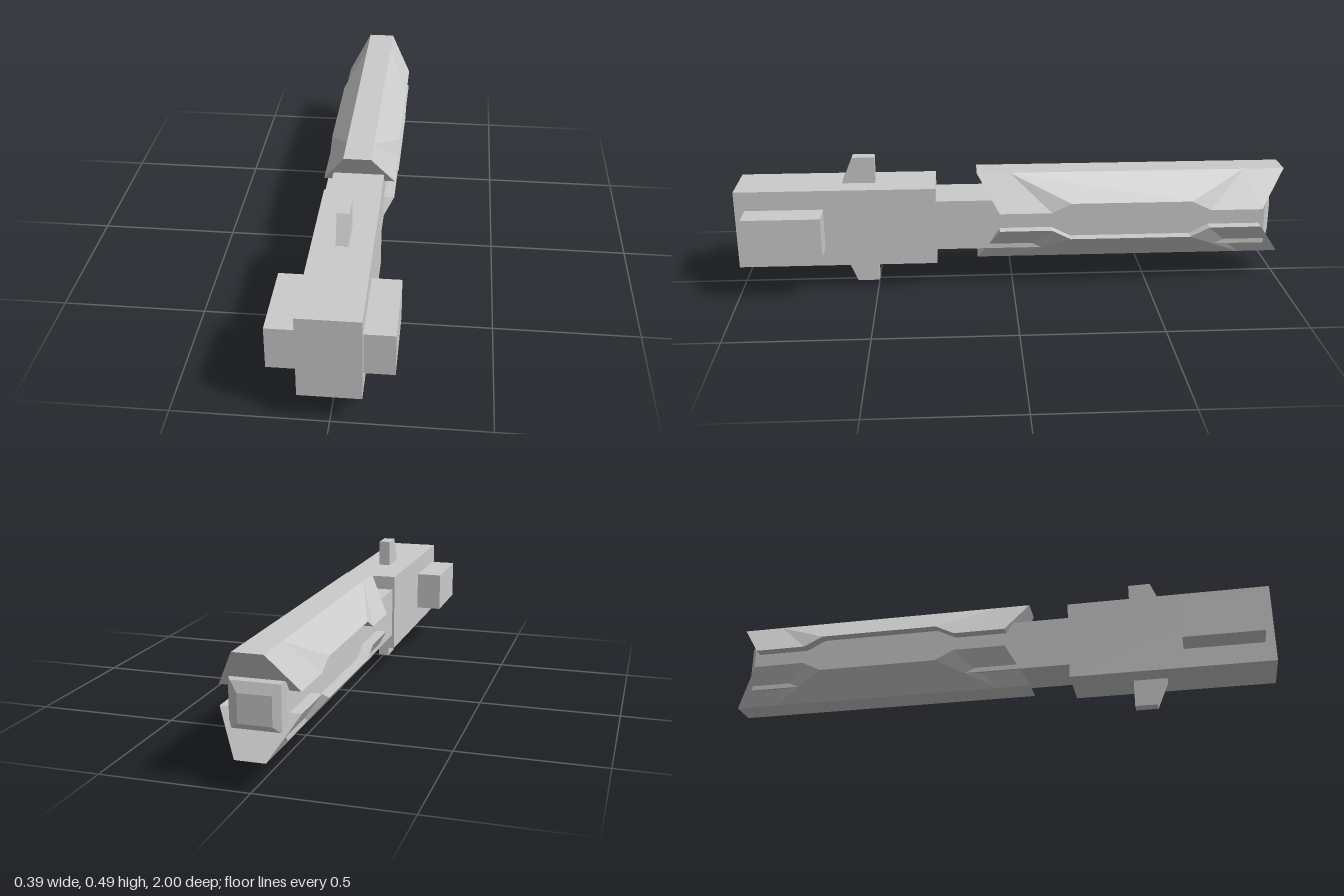
import * as THREE from 'three';

const material = new THREE.MeshStandardMaterial({ color: 0xcccccc, flatShading: true });

function addMesh(parent, name, geometry) {
  const mesh = new THREE.Mesh(geometry, material);
  mesh.name = name;
  parent.add(mesh);
  return mesh;
}

// Box given by its lower and upper limits
function addBox(parent, name, [x0, y0, z0], [x1, y1, z1]) {
  const g = new THREE.BoxGeometry(x1 - x0, y1 - y0, z1 - z0);
  g.translate((x0 + x1) / 2, (y0 + y1) / 2, (z0 + z1) / 2);
  return addMesh(parent, name, g);
}

// Flat-faced geometry from convex polygons
function polygonGeometry(polygons) {
  const pos = [];
  for (const p of polygons)
    for (let i = 1; i < p.length - 1; i++) pos.push(...p[0], ...p[i], ...p[i + 1]);
  const g = new THREE.BufferGeometry();
  g.setAttribute('position', new THREE.Float32BufferAttribute(pos, 3));
  g.computeVertexNormals();
  return g;
}

// Faceted shell half: flat ridge above, notched lower edge, undercut ends
function shellGeometry() {
  const ridge = [0.13, 0.01, -0.85, -1].map(z => [0.05, 0.164, z]);
  const edge = [[0.05, 0.034], [-0.14, 0.034], [-0.21, 0.069], [-0.65, 0.069], [-0.72, 0.034], [-0.91, 0.034]]
    .map(([z, y]) => [0.13, y, z]);
  const flip = ([x, y, z]) => [-x, y, z];
  const [t0, t1, t2, t3] = ridge;
  const [p0, p1, p2, p3, p4, p5] = edge;
  const side = [[t0, p0, p1, t1], [t1, p1, p2], [t1, p2, p3, t2], [t2, p3, p4], [t2, p4, p5, t3]];
  const polygons = [
    ...side,
    ...side.map(p => p.map(flip).reverse()),
    [flip(t0), t0, t3, flip(t3)],
    [flip(p0), p0, t0, flip(t0)],
    [p5, flip(p5), flip(t3), t3],
  ];
  for (let i = 0; i < 5; i++)
    polygons.push([flip(edge[i]), flip(edge[i + 1]), edge[i + 1], edge[i]]);
  return polygonGeometry(polygons);
}

// Tapered rear cap of the core
function capGeometry() {
  const ring = (x, y0, y1, z) => [[-x, y0, z], [x, y0, z], [x, y1, z], [-x, y1, z]];
  const a = ring(0.092, 0.15, 0.337, -0.93);
  const b = ring(0.08, 0.175, 0.325, -0.945);
  const c = ring(0.055, 0.195, 0.29, -0.956);
  const polygons = [[...c].reverse()];
  for (const [near, far] of [[a, b], [b, c]])
    for (let i = 0; i < 4; i++) {
      const j = (i + 1) % 4;
      polygons.push([near[j], near[i], far[i], far[j]]);
    }
  return polygonGeometry(polygons);
}

// Thin fin with a sloped front, drawn in (z, y) and centred on x
function finGeometry() {
  const s = new THREE.Shape([[-0.62, 0.13], [-0.5, 0.13], [-0.5, 0.2425], [-0.58, 0.2425], [-0.62, 0.146]]
    .map(([u, v]) => new THREE.Vector2(u, v)));
  const g = new THREE.ExtrudeGeometry(s, { depth: 0.042, bevelEnabled: false });
  g.translate(0, 0, -0.021);
  g.rotateY(Math.PI / 2);
  return g;
}

export function createModel() {
  const model = new THREE.Group();
  model.name = 'model';

  // Front housing with a block on each side
  addBox(model, 'housing', [-0.1, 0.098, 0.28], [0.1, 0.388, 1]);
  addBox(model, 'leftBlock', [0.09, 0.17, 0.685], [0.197, 0.317, 0.965]);
  addBox(model, 'rightBlock', [-0.197, 0.17, 0.685], [-0.09, 0.317, 0.965]);

  // Long core running through the shells
  addBox(model, 'core', [-0.092, 0.15, -0.93], [0.092, 0.337, 0.3]);
  addMesh(model, 'coreCap', capGeometry());

  // Upper and lower shells and fins, the lower ones turned over
  const shell = shellGeometry();
  const fin = finGeometry();
  for (const [prefix, angle] of [['upper', 0], ['lower', Math.PI]]) {
    const s = addMesh(model, prefix + 'Shell', shell);
    s.position.y = 0.263;
    s.rotation.z = angle;
    const f = addMesh(model, prefix + 'Fin', fin);
    f.position.y = 0.2425;
    f.rotation.z = angle;
  }
  return model;
}
